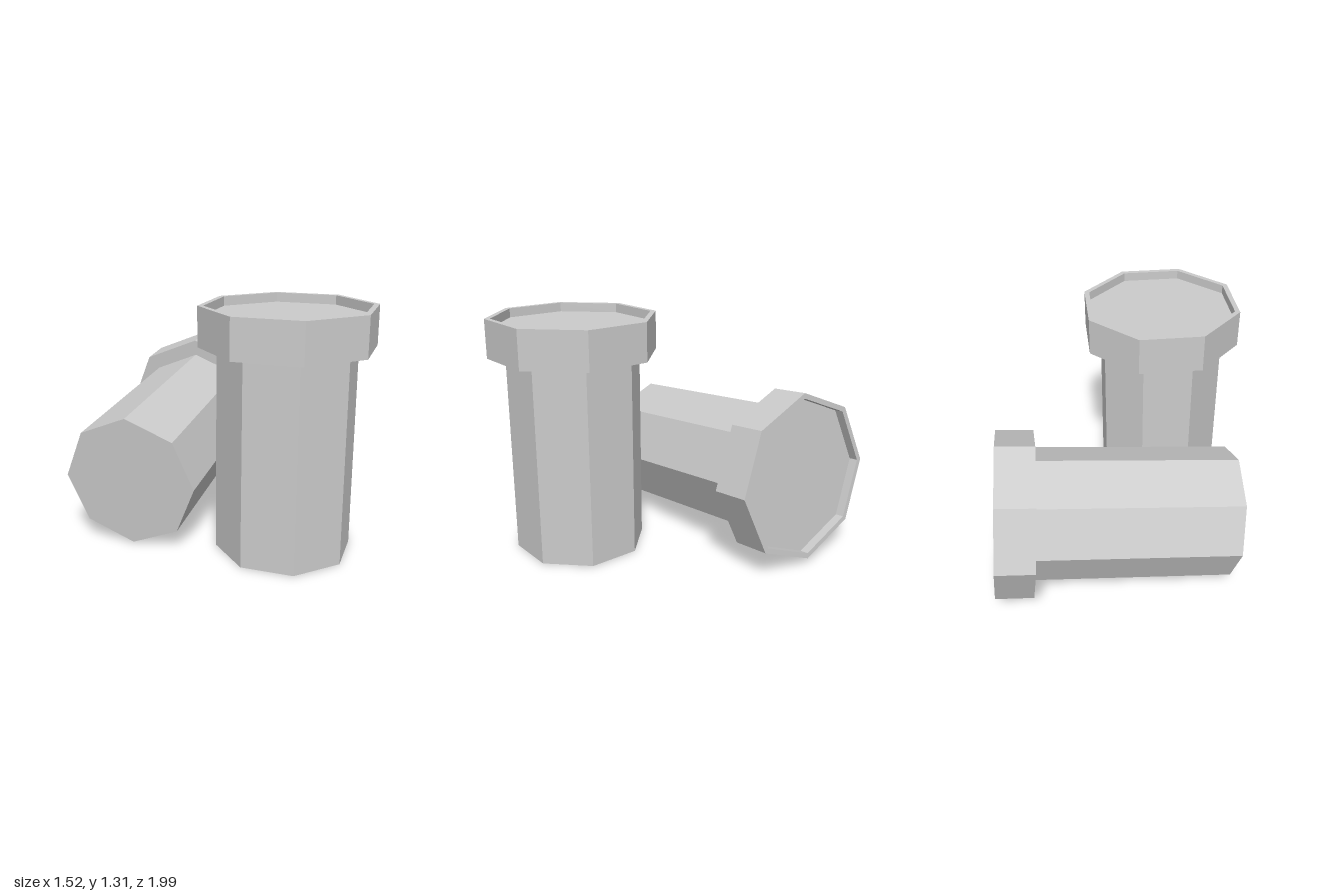
import * as THREE from 'three';

const SIDES = 8;
const BODY_R = 0.365, BODY_H = 1.1;
const CAP_R = 0.46, TOP = 1.31, RIM_R = 0.43, RECESS = 0.05;

const material = new THREE.MeshStandardMaterial({ color: 0xcccccc, flatShading: true });

function lathe(name, points) {
  const profile = points.map(([r, y]) => new THREE.Vector2(r, y));
  const mesh = new THREE.Mesh(new THREE.LatheGeometry(profile, SIDES), material);
  mesh.name = name;
  return mesh;
}

// Octagonal bottle standing on its base, axis along +y
function createBottle(name) {
  const bottle = new THREE.Group();
  bottle.name = name;

  // Body with a closed base
  bottle.add(lathe('body', [[0, 0], [BODY_R, 0], [BODY_R, BODY_H]]));

  // Wider cap with a thin rim around a recessed top
  bottle.add(lathe('cap', [
    [BODY_R, BODY_H], [CAP_R, BODY_H], [CAP_R, TOP],
    [RIM_R, TOP], [RIM_R, TOP - RECESS], [0, TOP - RECESS],
  ]));
  return bottle;
}

export function createModel() {
  const model = new THREE.Group();
  model.name = 'bottles';

  const upright = createBottle('uprightBottle');
  upright.position.set(-0.05, 0, 0.535);

  // Lying bottle rests on its base edge and cap, so it tilts up slightly
  const lying = createBottle('lyingBottle');
  lying.position.set(-0.62, 0.37, -0.065);
  lying.rotation.set(0, 0.402, -1.479);

  model.add(upright, lying);
  return model;
}
